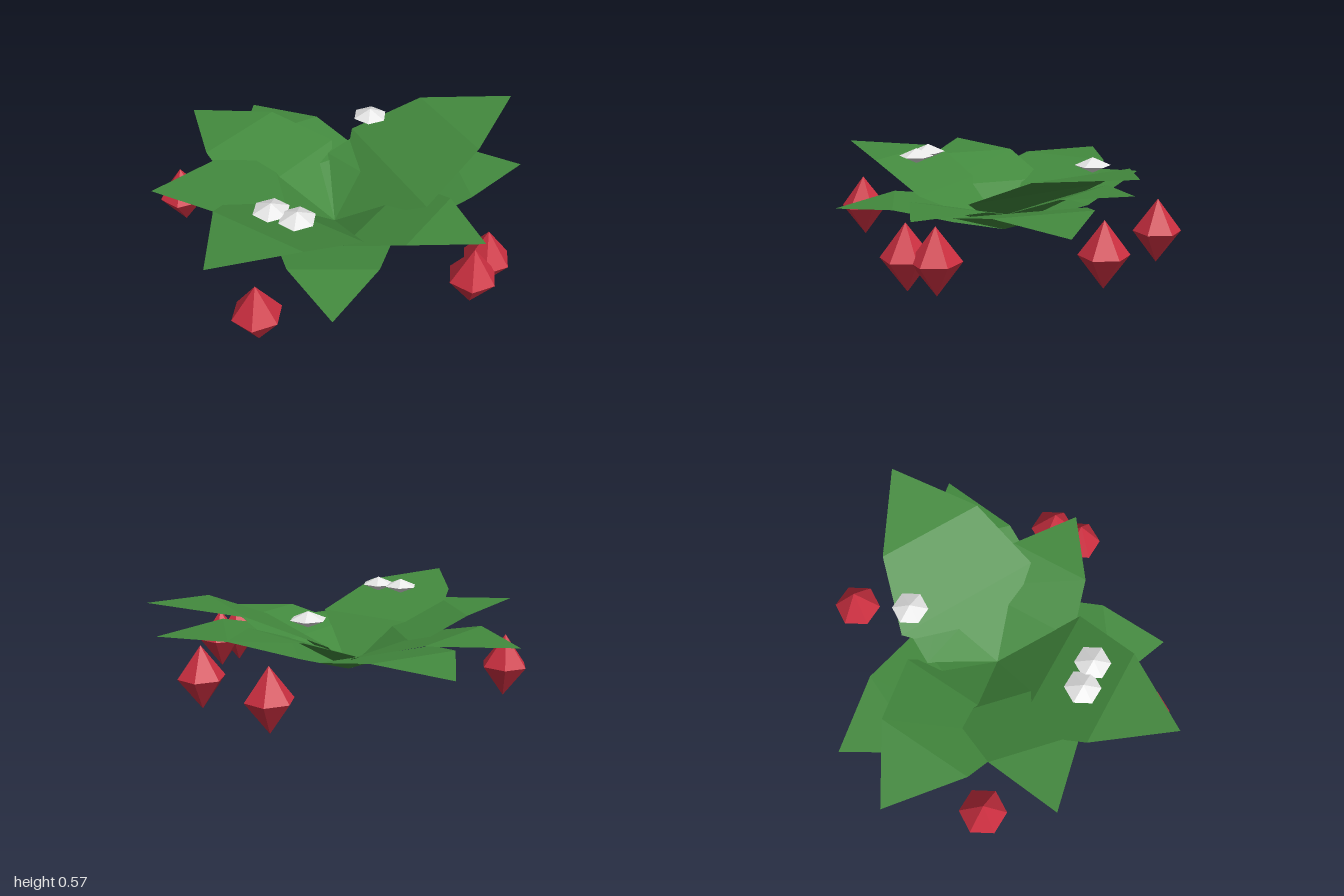
import * as THREE from 'three';

const leafGreen = new THREE.MeshStandardMaterial({ color: 0x438a3e, flatShading: true, side: THREE.DoubleSide });
leafGreen.name = 'leaf green';
const berryRed = new THREE.MeshStandardMaterial({ color: 0xcc2f40, flatShading: true });
berryRed.name = 'berry red';
const blossomWhite = new THREE.MeshStandardMaterial({ color: 0xeeeeee, flatShading: true });
blossomWhite.name = 'blossom white';

const CROWN = new THREE.Vector3(-0.09, 0.1, 0.07);
const DROOP = 16; // degrees each segment bends down from the one before

// Flat-across leaf in three equal segments: point, two wide stations, point
function leafGeometry(tipX, tipZ, pitch) {
  const dx = tipX - CROWN.x, dz = tipZ - CROWN.z;
  const chord = Math.hypot(dx, dz);
  const angles = [0, 1, 2].map(i => THREE.MathUtils.degToRad(pitch - DROOP * i));
  const seg = chord / angles.reduce((sum, a) => sum + Math.cos(a), 0);
  const along = new THREE.Vector3(dx / chord, 0, dz / chord);
  const side = new THREE.Vector3(along.z, 0, -along.x);
  const halfWidths = [0, 0.99 * seg, 0.71 * seg, 0];

  const spine = CROWN.clone();
  const pos = [];
  halfWidths.forEach((w, i) => {
    if (i > 0) {
      spine.addScaledVector(along, seg * Math.cos(angles[i - 1]));
      spine.y += seg * Math.sin(angles[i - 1]);
    }
    for (const s of [1, -1]) pos.push(...spine.clone().addScaledVector(side, s * w).toArray());
  });

  const geo = new THREE.BufferGeometry();
  geo.setAttribute('position', new THREE.Float32BufferAttribute(pos, 3));
  geo.setIndex([0, 3, 2, 2, 3, 5, 2, 5, 4, 4, 5, 6]);
  const flat = geo.toNonIndexed();
  flat.computeVertexNormals();
  return flat;
}

// Six-sided double pyramids
function gem(name, material, radius, halfHeight, x, y, z) {
  const geo = new THREE.SphereGeometry(1, 6, 2).scale(radius, halfHeight, radius);
  const mesh = new THREE.Mesh(geo, material);
  mesh.position.set(x, y, z);
  mesh.name = name;
  return mesh;
}

export function createModel() {
  const model = new THREE.Group();
  model.name = 'berryPlant';

  // Leaves: tip x, tip z, starting pitch in degrees
  const leaves = [
    [-0.58, -0.845, 32], [-0.2, -0.91, 27.5], [1.0, 0.0, 39.5],
    [0.91, 0.29, 28.5], [0.38, 0.81, 32], [-0.45, 0.89, 25],
    [-0.94, 0.62, 38], [-1.0, -0.1, 37], [0.67, -0.23, 36.5],
  ];
  leaves.forEach(([x, z, pitch], i) => {
    const leaf = new THREE.Mesh(leafGeometry(x, z, pitch), leafGreen);
    leaf.name = `leaf${i + 1}`;
    model.add(leaf);
  });

  // Berries resting on the ground
  const berries = [
    [-0.79, -0.39], [0.54, -0.475], [0.32, 0.81],
    [0.45, 0.72], [-0.72, 0.63], [0.745, 0],
  ];
  berries.forEach(([x, z], i) => model.add(gem(`berry${i + 1}`, berryRed, 0.124, 0.167, x, 0.17, z)));

  // Blossoms above the leaves
  const blossoms = [[-0.52, 0.315], [-0.43, 0.425], [0.265, -0.26]];
  blossoms.forEach(([x, z], i) => model.add(gem(`blossom${i + 1}`, blossomWhite, 0.094, 0.041, x, 0.485, z)));

  return model;
}
